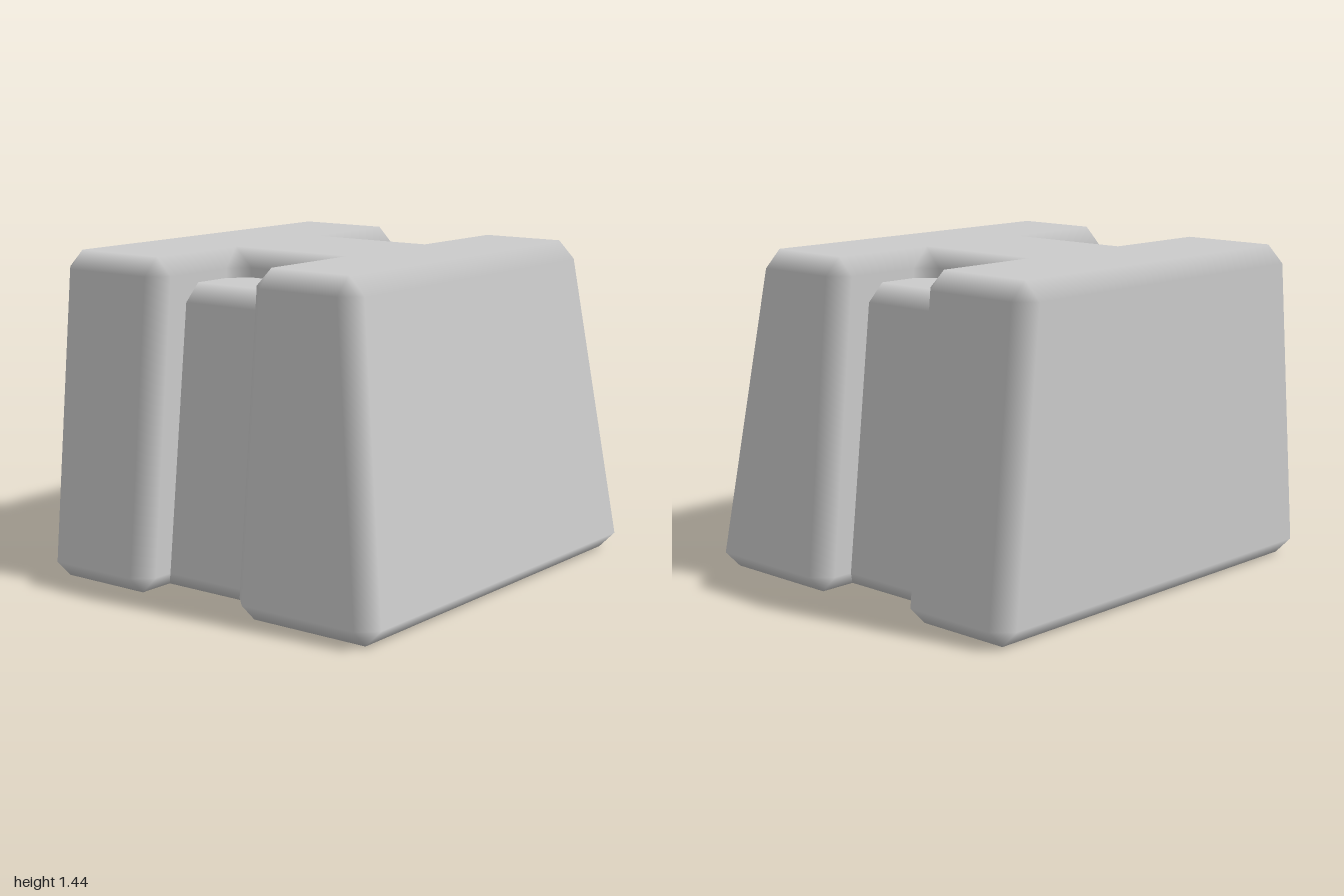
import * as THREE from 'three';

const BEVEL = 0.078;

// Bevelled, tapered prism. lower/upper: matching outlines [x, z], running
// anticlockwise seen from above, at the bottom and top of the side walls.
function bevelledBlock(name, lower, upper, height) {
  const n = lower.length, m = 2 * n;
  const pts = [], normals = [], index = [];

  // For each corner: the two chamfer points and the inset cap corner
  const corner = (outline, i) => {
    const p = new THREE.Vector2(...outline[i]);
    const toPrev = new THREE.Vector2(...outline[(i + n - 1) % n]).sub(p).normalize();
    const toNext = new THREE.Vector2(...outline[(i + 1) % n]).sub(p).normalize();
    const convex = toPrev.x * toNext.y - toPrev.y * toNext.x > 0;
    const inset = toPrev.clone().add(toNext).multiplyScalar(convex ? BEVEL : -BEVEL).add(p);
    return {
      before: toPrev.multiplyScalar(BEVEL).add(p),
      after: toNext.multiplyScalar(BEVEL).add(p),
      inset,
    };
  };

  // Four rings: bottom cap, wall foot, wall head, top cap
  const rings = [
    [lower, 0, true], [lower, BEVEL, false],
    [upper, height - BEVEL, false], [upper, height, true],
  ];
  rings.forEach(([outline, y, cap]) => {
    for (let i = 0; i < n; i++) {
      const c = corner(outline, i);
      for (const q of cap ? [c.inset, c.inset] : [c.before, c.after]) {
        pts.push(new THREE.Vector3(q.x, y, q.y));
        normals.push(new THREE.Vector3(0, y > height / 2 ? 1 : -1, 0));
      }
    }
  });

  // Walls stay flat; the bevels blend between the neighbouring flat faces
  for (let i = 0; i < n; i++) {
    const a = m + 2 * i + 1, b = m + (2 * i + 2) % m;
    const along = pts[b].clone().sub(pts[a]);
    const up = pts[a + m].clone().sub(pts[a]);
    const normal = along.cross(up).normalize();
    for (const k of [a, b, a + m, b + m]) normals[k] = normal;
  }
  for (let r = 0; r < 3; r++) {
    for (let j = 0; j < m; j++) {
      const a = r * m + j, b = r * m + (j + 1) % m;
      if (pts[a].distanceTo(pts[b]) > 1e-6) index.push(a, b, b + m);
      if (pts[a + m].distanceTo(pts[b + m]) > 1e-6) index.push(a, b + m, a + m);
    }
  }

  // Caps
  for (const [start, flip] of [[0, true], [3 * m, false]]) {
    const flat = [];
    for (let i = 0; i < n; i++) {
      const p = pts[start + 2 * i];
      flat.push(new THREE.Vector2(p.x, -p.z));
    }
    for (const t of THREE.ShapeUtils.triangulateShape(flat, [])) {
      const [a, b, c] = t.map(k => start + 2 * k);
      index.push(...(flip ? [a, c, b] : [a, b, c]));
    }
  }

  const geometry = new THREE.BufferGeometry().setFromPoints(pts);
  geometry.setAttribute('normal',
    new THREE.Float32BufferAttribute(normals.flatMap(v => v.toArray()), 3));
  geometry.setIndex(index);
  const mesh = new THREE.Mesh(geometry, new THREE.MeshStandardMaterial({ color: 0xcccccc }));
  mesh.name = name;
  return mesh;
}

// Mirror the +x half of an outline (listed front to back) onto -x
const mirrored = half => [...half, ...half.map(([x, z]) => [-x, z]).reverse()];

// H-shaped outline with a slot in each side
const hOutline = (w, front) => mirrored([
  [w, front], [w, 0.17], [0.36, 0.17], [0.36, -0.3], [w, -0.3], [w, -0.895],
]);

// Plain outline whose ends are buried in the two slabs
const coreOutline = w => mirrored([[w, 0.33], [w, -0.46]]);

export function createModel() {
  const group = new THREE.Group();
  group.name = 'slottedBlock';
  group.add(
    bevelledBlock('body', hOutline(1, 0.895), hOutline(0.872, 0.715), 1.44),
    bevelledBlock('slotCore', coreOutline(0.83), coreOutline(0.7), 1.32),
  );
  return group;
}
